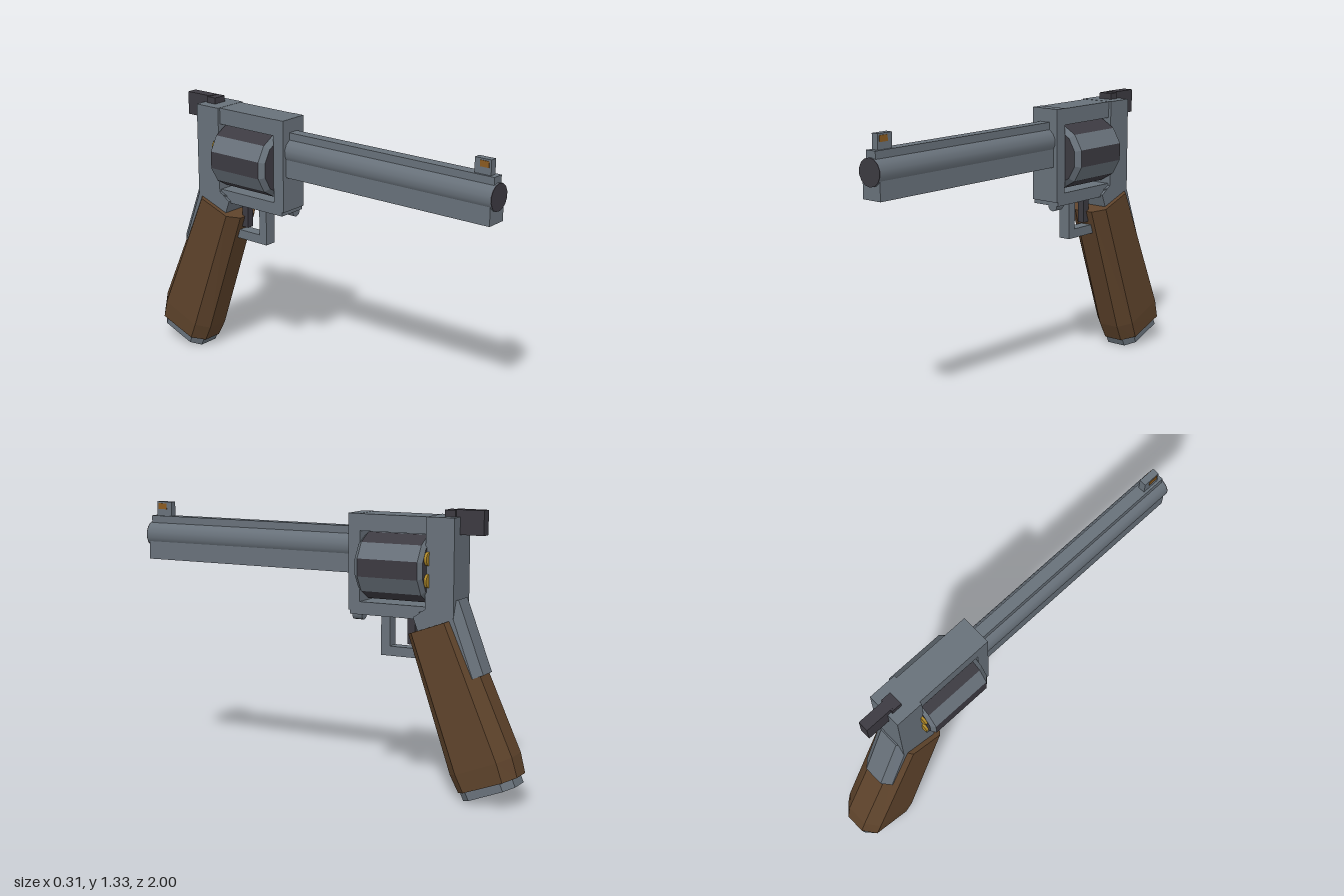
import * as THREE from 'three';

const mat = (name, color) => {
  const m = new THREE.MeshStandardMaterial({ color });
  m.name = name;
  return m;
};

export function createModel() {
  const steel = mat('steel', 0x68717a);
  const dark = mat('dark steel', 0x3c3a41);
  const wood = mat('wood', 0x5e432b);
  const brass = mat('brass', 0xb08a2a);
  const amber = mat('amber', 0x8a5a20);
  const model = new THREE.Group();
  model.name = 'revolver';

  const add = (name, geometry, material, parent = model) => {
    const mesh = new THREE.Mesh(geometry, material);
    mesh.name = name;
    parent.add(mesh);
    return mesh;
  };
  // Box given by its extents on each axis
  const box = (name, x0, x1, y0, y1, z0, z1, material, parent) => {
    const m = add(name, new THREE.BoxGeometry(x1 - x0, y1 - y0, z1 - z0), material, parent);
    m.position.set((x0 + x1) / 2, (y0 + y1) / 2, (z0 + z1) / 2);
    return m;
  };
  // Cylinder along z
  const rod = (name, r, x, y, z0, z1, sides, material, parent) => {
    const g = new THREE.CylinderGeometry(r, r, z1 - z0, sides).rotateX(Math.PI / 2);
    const m = add(name, g, material, parent);
    m.position.set(x, y, (z0 + z1) / 2);
    return m;
  };

  // Flat-faced solid through rings of points; slot(i) picks a material per side face
  const loft = (rings, slot = () => 0, capSlot = 0) => {
    const pos = [];
    const g = new THREE.BufferGeometry();
    const tri = (a, b, c) => pos.push(...a, ...b, ...c);
    const n = rings[0].length;
    const group = (start, s) => g.addGroup(start, pos.length / 3 - start, s);
    for (let k = 0; k + 1 < rings.length; k++) {
      for (let i = 0; i < n; i++) {
        const start = pos.length / 3, j = (i + 1) % n;
        const a = rings[k], b = rings[k + 1];
        tri(a[i], b[i], b[j]);
        tri(a[i], b[j], a[j]);
        group(start, slot(i, k));
      }
    }
    const start = pos.length / 3, first = rings[0], last = rings[rings.length - 1];
    for (let i = 1; i + 1 < n; i++) {
      tri(first[0], first[i], first[i + 1]);
      tri(last[0], last[i + 1], last[i]);
    }
    group(start, capSlot);
    g.setAttribute('position', new THREE.Float32BufferAttribute(pos, 3));
    g.computeVertexNormals();
    return g;
  };
  // Chamfered section between a front and a back point given as [z, y]
  const section = (front, back, w, flat, t = 0.17) => {
    const at = (x, f) => [x, front[1] + (back[1] - front[1]) * f, front[0] + (back[0] - front[0]) * f];
    return [at(flat, 0), at(w, t), at(w, 1 - t), at(flat, 1),
      at(-flat, 1), at(-w, 1 - t), at(-w, t), at(-flat, 0)];
  };

  // Barrel, rib and underlug
  rod('barrel', 0.064, 0, 1.142, -0.16, 0.996, 14, steel);
  rod('muzzle', 0.064, 0, 1.142, 0.996, 1, 14, dark);
  box('barrelRib', -0.028, 0.028, 1.14, 1.235, -0.16, 0.99, steel);
  box('underlug', -0.053, 0.053, 1.02, 1.14, -0.16, 0.99, steel);

  // Front sight with an insert on each side
  box('frontSight', -0.017, 0.017, 1.235, 1.305, 0.88, 0.965, steel);
  for (const s of [-1, 1]) {
    box('sightInsert', s * 0.018 - 0.002, s * 0.018 + 0.002, 1.268, 1.297, 0.908, 0.955, amber);
  }

  // Frame around the cylinder window
  const frame = new THREE.Group();
  frame.name = 'frame';
  model.add(frame);
  box('frontPost', -0.075, 0.075, 0.85, 1.3, -0.21, -0.15, steel, frame);
  box('topStrap', -0.075, 0.075, 1.22, 1.299, -0.56, -0.2, steel, frame);
  box('bottomStrap', -0.075, 0.075, 0.83, 0.89, -0.56, -0.16, steel, frame);
  const rear = new THREE.Shape([[0.55, 1.3], [0.55, 0.88], [0.49, 0.84], [0.52, 0.76], [0.69, 0.8], [0.69, 1.3]]
    .map(([z, y]) => new THREE.Vector2(z, y)));
  const rearGeo = new THREE.ExtrudeGeometry(rear, { depth: 0.176, bevelEnabled: false });
  rearGeo.translate(0, 0, -0.088).rotateY(Math.PI / 2);
  add('rearFrame', rearGeo, steel, frame);
  rod('ejectorRod', 0.027, 0.037, 0.828, -0.215, -0.165, 10, steel, frame);

  // Cylinder with alternating plain and fluted faces
  const cy = 1.06;
  const ring = (r, z) => Array.from({ length: 12 }, (_, i) => {
    const a = (i - 0.5) * Math.PI / 6;
    return [r * Math.cos(a), cy + r * Math.sin(a), z];
  });
  const drum = loft([ring(0.137, -0.213), ring(0.16, -0.237), ring(0.16, -0.54), ring(0.137, -0.556)],
    (i, k) => (k === 1 && i % 2 === 0 ? 1 : 0), 1);
  add('cylinder', drum, [steel, dark]);
  for (let k = 0; k < 6; k++) {
    const a = Math.PI / 6 + k * Math.PI / 3;
    rod('cartridge', 0.032, 0.1 * Math.cos(a), cy + 0.1 * Math.sin(a), -0.568, -0.54, 10, brass);
  }

  // Hammer
  box('hammer', -0.026, 0.026, 1.22, 1.333, -0.805, -0.66, dark);
  box('rearSight', -0.035, 0.035, 1.295, 1.33, -0.67, -0.618, dark);

  // Trigger and guard
  box('trigger', -0.018, 0.018, 0.7, 0.84, -0.467, -0.43, dark);
  box('guardPost', -0.03, 0.03, 0.64, 0.84, -0.345, -0.3, steel);
  box('guardBar', -0.03, 0.03, 0.64, 0.685, -0.52, -0.345, steel);

  // Grip, backstrap and butt plate
  add('grip', loft([
    section([-0.45, 0.755], [-0.695, 0.845], 0.11, 0.052),
    section([-0.67, 0.115], [-0.972, 0.235], 0.114, 0.055),
    section([-0.71, 0.035], [-0.997, 0.143], 0.108, 0.05),
  ]), wood);
  add('backstrap', loft([
    section([-0.49, 0.855], [-0.698, 0.93], 0.088, 0.05),
    section([-0.61, 0.515], [-0.825, 0.595], 0.088, 0.05),
  ]), steel);
  add('buttPlate', loft([
    section([-0.71, 0.06], [-0.965, 0.155], 0.094, 0.052),
    section([-0.738, 0], [-0.99, 0.098], 0.094, 0.052),
  ]), steel);

  return model;
}
